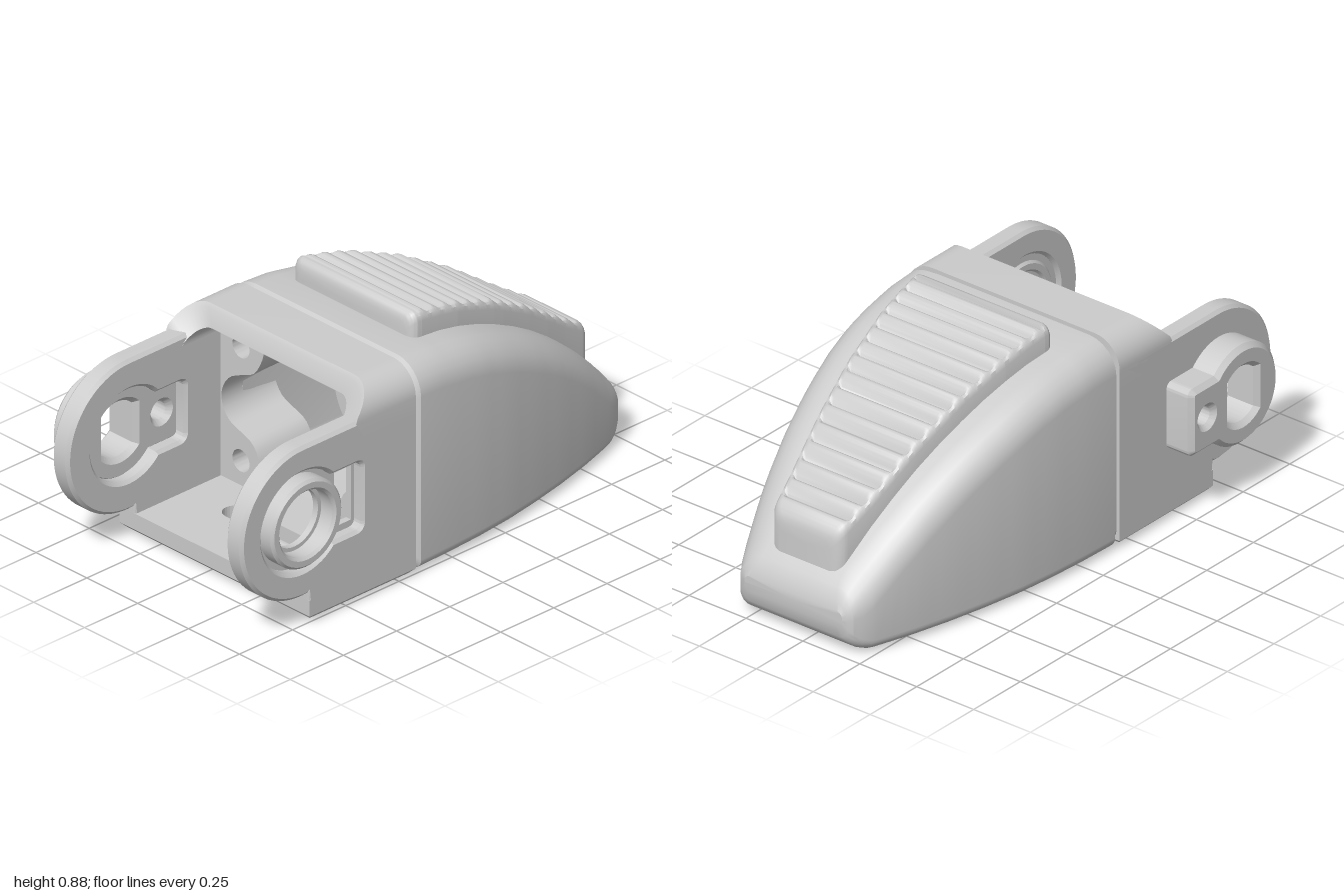
import * as THREE from 'three';
import { toCreasedNormals } from 'three/addons/utils/BufferGeometryUtils.js';

const CX = 0.0425;            // middle of the body
const HUB = { z: 0.71, y: 0.405 };
const V2 = (x, y) => new THREE.Vector2(x, y);

// Piecewise linear lookup, table sorted by descending z
function look(table, z) {
  if (z >= table[0][0]) return table[0][1];
  for (let i = 1; i < table.length; i++) {
    const [a, va] = table[i - 1], [b, vb] = table[i];
    if (z >= b) return va + (vb - va) * (a - z) / (a - b);
  }
  return table[table.length - 1][1];
}

// Smooth solid through rings of equal length, ordered counter-clockwise seen from the end ring
function loft(rings, crease = 0.5) {
  const n = rings[0].length, pos = [], idx = [];
  const add = p => pos.push(p[0], p[1], p[2]);
  rings.forEach(r => r.forEach(add));
  for (let i = 0; i < rings.length - 1; i++) for (let j = 0; j < n; j++) {
    const a = i * n + j, b = i * n + (j + 1) % n;
    idx.push(a, b, a + n, b, b + n, a + n);
  }
  [0, rings.length - 1].forEach((ri, end) => {
    const c = pos.length / 3;
    add([0, 1, 2].map(k => rings[ri].reduce((s, p) => s + p[k], 0) / n));
    for (let j = 0; j < n; j++) {
      const a = ri * n + j, b = ri * n + (j + 1) % n;
      end ? idx.push(c, a, b) : idx.push(c, b, a);
    }
  });
  const g = new THREE.BufferGeometry();
  g.setAttribute('position', new THREE.Float32BufferAttribute(pos, 3));
  g.setIndex(idx);
  return toCreasedNormals(g, crease);
}

// Extrusion with an optional chamfer that stays inside the outline
function slab(shape, depth, bevel = 0) {
  return new THREE.ExtrudeGeometry(shape, {
    depth: depth - 2 * bevel, curveSegments: 20, bevelEnabled: bevel > 0,
    bevelSize: bevel, bevelThickness: bevel, bevelOffset: -bevel, bevelSegments: 1,
  }).translate(0, 0, bevel);
}
const alongX = (shape, x0, x1, b) => toCreasedNormals(slab(shape, x1 - x0, b).rotateY(-Math.PI / 2).translate(x1, 0, 0), 0.5);
const alongY = (shape, y0, y1, b) => toCreasedNormals(slab(shape, y1 - y0, b).rotateX(Math.PI / 2).translate(CX, y1, 0), 0.5);

const circle = (x, y, r) => new THREE.Path().absarc(x, y, r, 0, Math.PI * 2);

// Round hub outline with a square tab pointing backwards (z, y)
function keyhole(r, tabZ, h, C = THREE.Path) {
  const a = Math.asin(h / r), p = new C();
  p.absarc(HUB.z, HUB.y, r, -Math.PI + a, Math.PI - a);
  p.lineTo(tabZ + 0.03, HUB.y + h);
  p.quadraticCurveTo(tabZ, HUB.y + h, tabZ, HUB.y + h - 0.03);
  p.lineTo(tabZ, HUB.y - h + 0.03);
  p.quadraticCurveTo(tabZ, HUB.y - h, tabZ + 0.03, HUB.y - h);
  p.closePath();
  return p;
}

// Side plate with round ear (z, y)
function earShape(hole) {
  const s = new THREE.Shape();
  s.moveTo(0.18, 0.03); s.lineTo(0.68, 0.03); s.lineTo(0.68, 0.117);
  s.absarc(HUB.z, HUB.y, 0.29, -1.674, Math.PI / 2);
  s.lineTo(0.18, 0.695); s.closePath();
  s.holes.push(hole);
  return s;
}

// Floor plate with a long slot (x, z)
function floorShape(r) {
  const s = new THREE.Shape([V2(-0.4675, 0.18), V2(0.4675, 0.18), V2(0.4675, 0.68), V2(-0.4675, 0.68)]);
  const slot = new THREE.Path();
  slot.absarc(0.165, 0.425, r, -Math.PI / 2, Math.PI / 2);
  slot.absarc(-0.165, 0.425, r, Math.PI / 2, Math.PI * 1.5);
  slot.closePath();
  s.holes.push(slot);
  return s;
}

const TOP = [[0.16, 0.8], [0.05, 0.796], [-0.1, 0.773], [-0.2, 0.748], [-0.3, 0.712], [-0.4, 0.668], [-0.5, 0.617],
  [-0.6, 0.557], [-0.7, 0.487], [-0.8, 0.405], [-0.9, 0.312], [-0.95, 0.26], [-0.98, 0.22], [-1, 0.17]];
const WIDTH = [[0.16, 0.4675], [0, 0.462], [-0.15, 0.452], [-0.3, 0.435], [-0.45, 0.409], [-0.6, 0.377],
  [-0.75, 0.338], [-0.88, 0.297], [-0.94, 0.275], [-0.98, 0.249], [-1, 0.215]];

// Rounded section; n and d make a slot in its upper edge
function section(z, hw, y0, y1, n, d) {
  const rt = Math.min(0.12, (y1 - y0) * 0.45, hw - n - 0.005), rb = Math.min(0.04, (y1 - y0) * 0.45), pts = [];
  const arc = (cx, cy, r, from) => {
    for (let i = 0; i <= 6; i++) {
      const a = from + i * Math.PI / 12;
      pts.push([CX + cx + r * Math.cos(a), cy + r * Math.sin(a), z]);
    }
  };
  arc(hw - rb, y0 + rb, rb, -Math.PI / 2);
  arc(hw - rt, y1 - rt, rt, 0);
  [[n, 0], [n, d], [-n, d], [-n, 0]].forEach(([x, y]) => pts.push([CX + x, y1 + y, z]));
  arc(rt - hw, y1 - rt, rt, Math.PI / 2);
  arc(rb - hw, y0 + rb, rb, Math.PI);
  return pts;
}

// Hollow toe: outer skin from back to front, then the cavity from front to back
function toeGeometry() {
  const rings = [], inner = [0.18, 0.1, 0, -0.15, -0.3, -0.45, -0.6, -0.72, -0.721, -0.8, -0.86, -0.89];
  const zs = [-1, -0.99, -0.98, -0.965, -0.95, -0.92, -0.9, -0.85];
  for (let z = -0.8; z < 0.1; z += 0.05) zs.push(z);
  zs.push(0.155);
  for (const z of zs) {
    const y0 = z < -0.9 ? 0.11 - Math.sqrt(Math.max(0, 0.01 - (z + 0.9) ** 2)) : 0.01;
    rings.push(section(z, look(WIDTH, z), y0, look(TOP, z), 0.05, 0));
  }
  rings.push(section(0.168, 0.453, 0.025, 0.785, 0.05, 0), section(0.182, 0.453, 0.025, 0.785, 0.05, 0));
  for (const z of inner) {
    const y1 = look(TOP, z) - 0.085, n = 0.06 + 0.11 * Math.max(0, (y1 - 0.39) / 0.325);
    const rise = 0.12 * (Math.max(0, -z) / 0.89) ** 2;
    rings.push(section(z, look(WIDTH, z) - 0.085, 0.085 + rise, y1, n, z > -0.7205 ? 0.04 : 0));
  }
  return loft(rings, 0.45);
}

// Tread pad with cross ridges
function padGeometry() {
  const H = [[0.035, 0.885], [0, 0.881], [-0.1, 0.862], [-0.2, 0.836], [-0.4, 0.758], [-0.6, 0.648], [-0.8, 0.51], [-0.94, 0.425]];
  const W = [[0.035, 0.302], [-0.2, 0.277], [-0.45, 0.24], [-0.7, 0.197], [-0.94, 0.15]];
  const rings = [], N = 240, R = 0.04;
  for (let i = 0; i <= N; i++) {
    const z = -0.94 + 0.975 * i / N, d = Math.min(z + 0.94, 0.035 - z, R);
    const e = R - Math.sqrt(Math.max(0, R * R - (R - d) ** 2));
    const w = look(W, z) - e, t = look(H, z) - e, b = look(TOP, z) - 0.06;
    const dip = d < R ? 0 : 0.028 * (1 - Math.abs(Math.sin(Math.PI * z / 0.062)));
    const half = [[w, b], [w, t - 0.033], [w - 0.006, t - 0.016], [w - 0.016, t - 0.005 - dip * 0.3], [w - 0.03, t - dip]];
    rings.push([...half, ...half.map(([x, y]) => [-x, y]).reverse()].map(([x, y]) => [CX + x, y, z]));
  }
  return loft(rings, 0.6);
}

// Arch over the sides and top, swept from the left leg to the right; its front edge slopes back to the roof
function archGeometry() {
  const rings = [];
  const station = (xo, yo, xi, yi, zo, zi) => {
    const mix = (a, b) => a + (b - a) * 0.2;
    rings.push([[xo, yo, zo], [xo, yo, 0.18], [xi, yi, 0.18], [xi, yi, zi],
      [mix(xo, xi), mix(yo, yi), zo + (zi - zo) * 0.4]].map(([x, y, z]) => [CX + x, y, z]));
  };
  const corner = (side, k) => {
    const a = k * Math.PI / 20, c = Math.cos(a), s = Math.sin(a), t = Math.min(1, 1.1 * (1 - s));
    station(side * (0.3575 + 0.11 * c), 0.69 + 0.11 * s, side * (0.3175 + 0.07 * c), 0.655 + 0.07 * s, 0.36 + 0.1 * t, 0.388 + 0.072 * t);
  };
  const leg = (side, y) => station(side * 0.4675, y, side * 0.3875, y, 0.42, 0.42);
  leg(1, 0.05);
  leg(1, 0.62);
  for (let k = 0; k <= 10; k++) corner(1, k);
  for (let k = 10; k >= 0; k--) corner(-1, k);
  leg(-1, 0.62);
  leg(-1, 0.05);
  return loft(rings, 0.4);
}

// Bulkhead with a lobed opening and four screw holes
function bulkheadGeometry() {
  const s = new THREE.Shape([V2(-0.41, 0.05), V2(0.41, 0.05), V2(0.41, 0.74), V2(-0.41, 0.74)]);
  const half = [[0.1, 0.725], [0.14, 0.715], [0.165, 0.68], [0.185, 0.61], [0.225, 0.545], [0.29, 0.515], [0.345, 0.485],
    [0.38, 0.43], [0.38, 0.37], [0.345, 0.32], [0.29, 0.297], [0.23, 0.27], [0.195, 0.21], [0.175, 0.14], [0.15, 0.1], [0.11, 0.088]];
  const pts = [...half, ...half.map(([x, y]) => [-x, y]).reverse()];
  const curve = new THREE.CatmullRomCurve3(pts.map(([x, y]) => new THREE.Vector3(x, y, 0)), true);
  s.holes.push(new THREE.Path(curve.getPoints(90).slice(0, -1).map(p => V2(p.x, p.y))));
  for (const x of [-0.288, 0.288]) for (const y of [0.185, 0.625]) s.holes.push(circle(x, y, 0.042));
  return toCreasedNormals(slab(s, 0.25).translate(CX, 0, 0.03), 0.5);
}

export function createModel() {
  const group = new THREE.Group();
  const mat = new THREE.MeshStandardMaterial({ color: 0xcccccc });
  const add = (name, geo) => {
    const m = new THREE.Mesh(geo, mat);
    m.name = name;
    group.add(m);
  };
  add('toeShell', toeGeometry());
  add('treadPad', padGeometry());
  add('bracketArch', archGeometry());
  add('bulkhead', bulkheadGeometry());
  add('screwBoss', new THREE.CapsuleGeometry(0.04, 0.04, 6, 20).translate(CX, 0.25, -0.75));

  // Floor: plain on top, chamfered below with a wider slot mouth
  add('bracketFloor', alongY(floorShape(0.045), 0.035, 0.09));
  add('floorUnderside', alongY(floorShape(0.06), 0.01, 0.06, 0.018));

  // Left ear: keyhole recess with a floor and a bearing tube
  add('leftEar', alongX(earShape(keyhole(0.19, 0.43, 0.13)), 0.43, 0.51, 0.012));
  const recess = keyhole(0.2, 0.42, 0.14, THREE.Shape);
  recess.holes.push(circle(HUB.z, HUB.y, 0.11), new THREE.Path([V2(0.445, 0.3), V2(0.525, 0.3), V2(0.525, 0.51), V2(0.445, 0.51)]));
  add('leftRecessFloor', alongX(recess, 0.444, 0.468));
  const tube = new THREE.Shape().absarc(HUB.z, HUB.y, 0.167, 0, Math.PI * 2);
  tube.holes.push(circle(HUB.z, HUB.y, 0.125));
  add('leftBearing', alongX(tube, 0.435, 0.533, 0.01));

  // Right ear: shallow recess inside, raised hub outside with a flat-sided shaft hole
  add('rightEar', alongX(earShape(keyhole(0.175, 0.445, 0.115)), -0.425, -0.345, 0.012));
  const hub = keyhole(0.19, 0.43, 0.13, THREE.Shape), shaft = new THREE.Path(), a = Math.acos(0.072 / 0.105);
  shaft.absarc(HUB.z, HUB.y, 0.105, a, Math.PI - a);
  shaft.absarc(HUB.z, HUB.y, 0.105, Math.PI + a, -a);
  shaft.closePath();
  hub.holes.push(shaft, circle(0.515, HUB.y, 0.035));
  add('rightHub', alongX(hub, -0.535, -0.39, 0.018));

  // Sole plate with three screw holes
  const sole = new THREE.Shape([V2(-0.25, -0.05), V2(0.25, -0.05), V2(0.285, -0.09), V2(0.275, -0.2), V2(0.175, -0.69),
    V2(0.13, -0.74), V2(-0.13, -0.74), V2(-0.175, -0.69), V2(-0.275, -0.2), V2(-0.285, -0.09)]);
  for (const [x, z] of [[-0.21, -0.13], [0.21, -0.13], [0, -0.64]]) sole.holes.push(circle(x, z, 0.035));
  add('solePlate', alongY(sole, 0, 0.02));
  return group;
}
